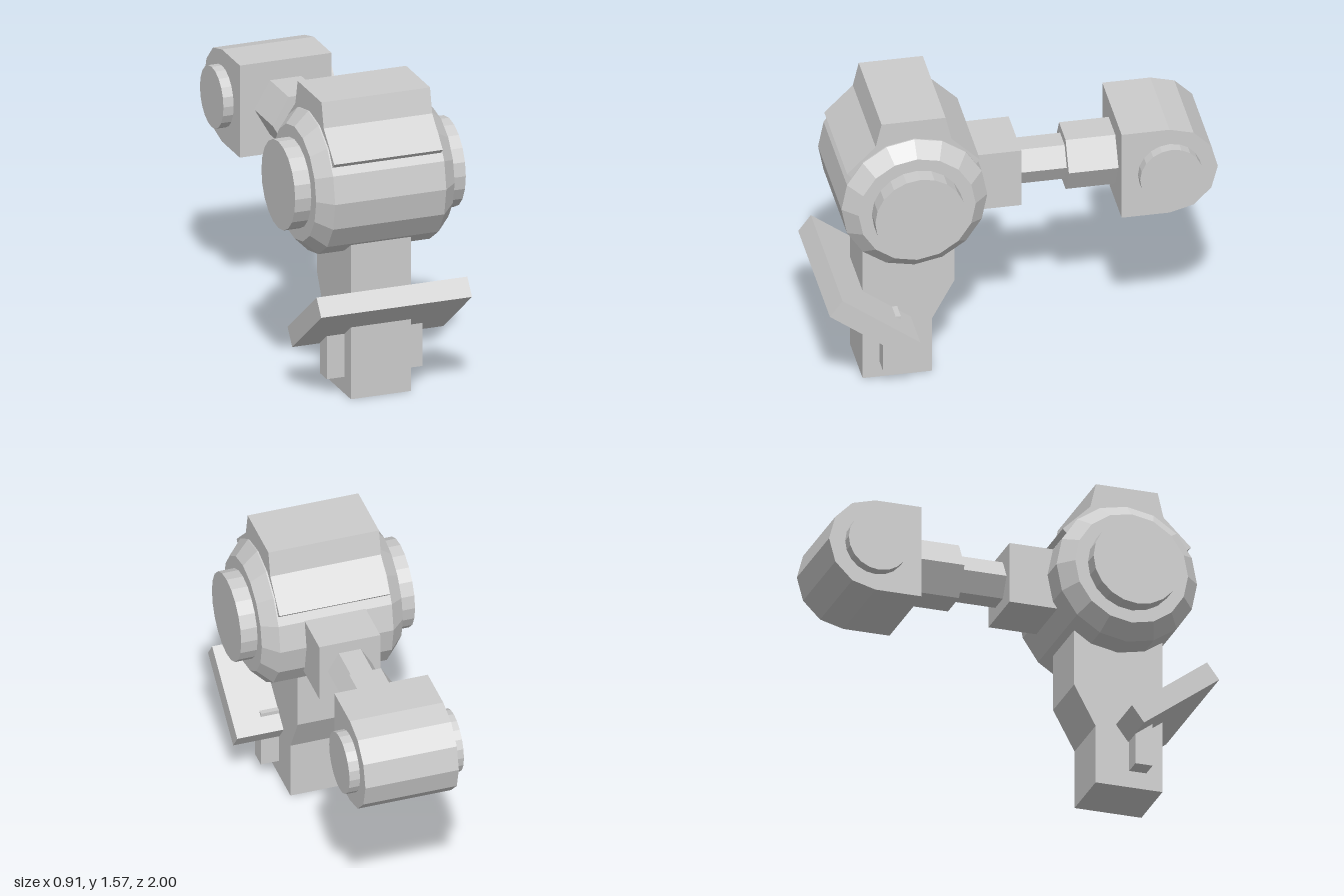
import * as THREE from 'three';

const grey = new THREE.MeshStandardMaterial({ color: 0xcccccc, flatShading: true });
grey.name = 'light grey';

export function createModel() {
  const model = new THREE.Group();
  model.name = 'mechanicalArm';

  const add = (name, geometry, x = 0, y = 0, z = 0) => {
    const mesh = new THREE.Mesh(geometry, grey);
    mesh.name = name;
    mesh.position.set(x, y, z);
    model.add(mesh);
    return mesh;
  };

  // Side profile given as [z, y] points, extruded symmetrically across x
  const sideExtrude = (points, halfWidth) => {
    const shape = new THREE.Shape(points.map(([z, y]) => new THREE.Vector2(z, y)));
    return new THREE.ExtrudeGeometry(shape, { depth: halfWidth * 2, bevelEnabled: false })
      .translate(0, 0, -halfWidth)
      .rotateY(-Math.PI / 2);
  };

  // Cylinder lying along x
  const axle = (radius, halfWidth, sides) =>
    new THREE.CylinderGeometry(radius, radius, halfWidth * 2, sides).rotateZ(Math.PI / 2);

  // Hexagonal rod along z with flat top
  const hexRod = (radius, length) =>
    new THREE.CylinderGeometry(radius, radius, length, 6, 1, false, Math.PI / 6).rotateX(Math.PI / 2);

  // Main drum with bevelled rims, and hub caps on both ends
  const drumProfile = [[0, -0.37], [0.297, -0.37], [0.37, -0.297], [0.37, 0.297], [0.297, 0.37], [0, 0.37]]
    .map(([r, y]) => new THREE.Vector2(r, y));
  add('drum', new THREE.LatheGeometry(drumProfile, 16).rotateZ(Math.PI / 2), 0, 1.1, 0.55);
  add('drumHubs', axle(0.23, 0.456, 20), 0, 1.1, 0.55);

  // Raised saddle on top of the drum
  add('topHousing', sideExtrude([
    [0.865, 1.277], [0.89, 1.302], [0.745, 1.445], [0.715, 1.573], [0.39, 1.573],
    [0.36, 1.445], [0.215, 1.302], [0.24, 1.277],
  ].reverse(), 0.29));

  // Leg under the drum
  add('leg', sideExtrude([
    [0.785, 0], [0.785, 0.95], [0.32, 0.95], [0.32, 0.52], [0.433, 0.31], [0.433, 0],
  ].reverse(), 0.16));

  // Tilted plate and its cross support
  const plate = add('tiltedPlate', new THREE.BoxGeometry(0.806, 0.107, 0.493), 0, 0.438, 0.77);
  plate.rotation.x = -0.641;
  add('plateSupport', new THREE.BoxGeometry(0.512, 0.315, 0.09), 0, 0.2475, 0.655);

  // Neck and stepped shaft leading back
  add('neckBlock', new THREE.BoxGeometry(0.32, 0.322, 0.42), 0, 1.084, 0.19);
  add('thinShaft', hexRod(0.115, 0.28), 0, 1.084, -0.14);
  add('thickShaft', hexRod(0.167, 0.27), 0, 1.084, -0.395);

  // Rear housing: square at the front, rounded at the back
  const rear = [[-0.512, 1.084 - 0.245], [-0.512, 1.084 + 0.245]];
  for (let i = 0; i <= 6; i++) {
    const a = (i * Math.PI) / 6;
    rear.push([-0.755 - 0.245 * Math.sin(a), 1.084 + 0.245 * Math.cos(a)]);
  }
  add('rearHousing', sideExtrude(rear, 0.245));
  add('rearHubs', axle(0.16, 0.3, 20), 0, 1.084, -0.755);

  return model;
}
